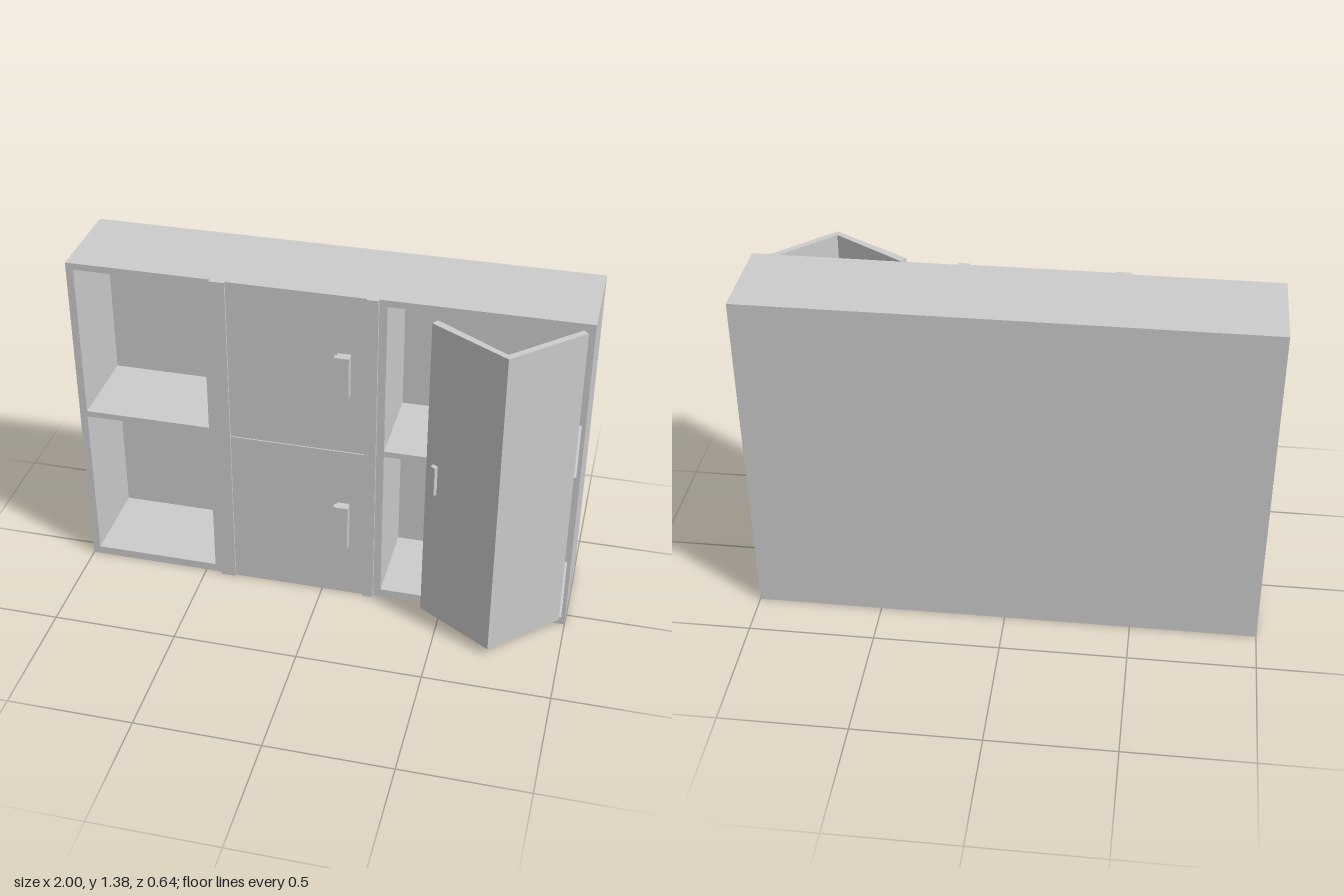
import * as THREE from 'three';

const H = 1.385, BACK = -0.32, FRONT = 0.06;

export function createModel() {
  const group = new THREE.Group();
  const material = new THREE.MeshStandardMaterial({ color: 0xcccccc, flatShading: true });

  const add = (name, geometry, parent = group) => {
    const mesh = new THREE.Mesh(geometry, material);
    mesh.name = name;
    parent.add(mesh);
    return mesh;
  };

  // box given by its limits on each axis
  const box = (name, [x0, x1], [y0, y1], [z0, z1], parent = group) => {
    const mesh = add(name, new THREE.BoxGeometry(x1 - x0, y1 - y0, z1 - z0), parent);
    mesh.position.set((x0 + x1) / 2, (y0 + y1) / 2, (z0 + z1) / 2);
    return mesh;
  };

  const polygon = (points, Type = THREE.Shape) =>
    new Type(points.map(([x, y]) => new THREE.Vector2(x, y)));
  const rect = (x0, x1, y0, y1, Type) =>
    polygon([[x0, y0], [x1, y0], [x1, y1], [x0, y1]], Type);

  // carcass with four open compartments and a shallow gap between the middle doors
  const rows = [[0.035, 0.695], [0.72, 1.358]];
  const carcass = rect(-1, 1, 0, H);
  for (const [x0, x1] of [[-0.97, -0.46], [0.245, 0.985]])
    for (const [y0, y1] of rows) carcass.holes.push(rect(x0, x1, y0, y1, THREE.Path));
  const depth = FRONT - BACK - 0.02;
  add('carcass', new THREE.ExtrudeGeometry(carcass, { depth, bevelEnabled: false }))
    .position.z = BACK + 0.02;
  box('backPanel', [-1, 1], [0, H], [BACK, BACK + 0.02]);

  // upright trims beside the middle doors
  for (const span of [[-0.43, -0.37], [0.17, 0.215]])
    box('uprightTrim', span, [0, H], [FRONT - 0.01, 0.074]);

  // closed middle doors, each with a block handle on a base plate
  const doors = [
    { y: [0, 0.695], handle: [0.25, 0.45] },
    { y: [0.72, H], handle: [0.965, 1.14] },
  ];
  for (const { y, handle: [h0, h1] } of doors) {
    const door = new THREE.Group();
    door.name = 'middleDoor';
    group.add(door);
    box('doorPanel', [-0.37, 0.17], y, [FRONT - 0.01, 0.065], door);
    box('handleBase', [0.05, 0.1], [h0 + 0.01, h1 - 0.01], [0.06, 0.085], door);
    box('handleGrip', [0.062, 0.112], [h0, h1], [0.065, 0.102], door);
  }

  // half-open folding door: plan outline raised to full height
  const plan = [[0.977, 0.078], [0.957, 0.06], [0.722, 0.29],
    [0.44, 0.11], [0.425, 0.137], [0.727, 0.32]];
  const fold = add('foldingDoor', new THREE.ExtrudeGeometry(
    polygon(plan.map(([x, z]) => [x, -z])), { depth: 1.323, bevelEnabled: false }));
  fold.rotation.x = -Math.PI / 2;
  fold.position.y = 0.035;

  // handle on the outer leaf
  const pull = add('foldingDoorHandle', new THREE.BoxGeometry(0.022, 0.13, 0.03));
  pull.position.set(0.463, 0.695, 0.163);
  pull.rotation.y = -0.545;

  return group;
}
